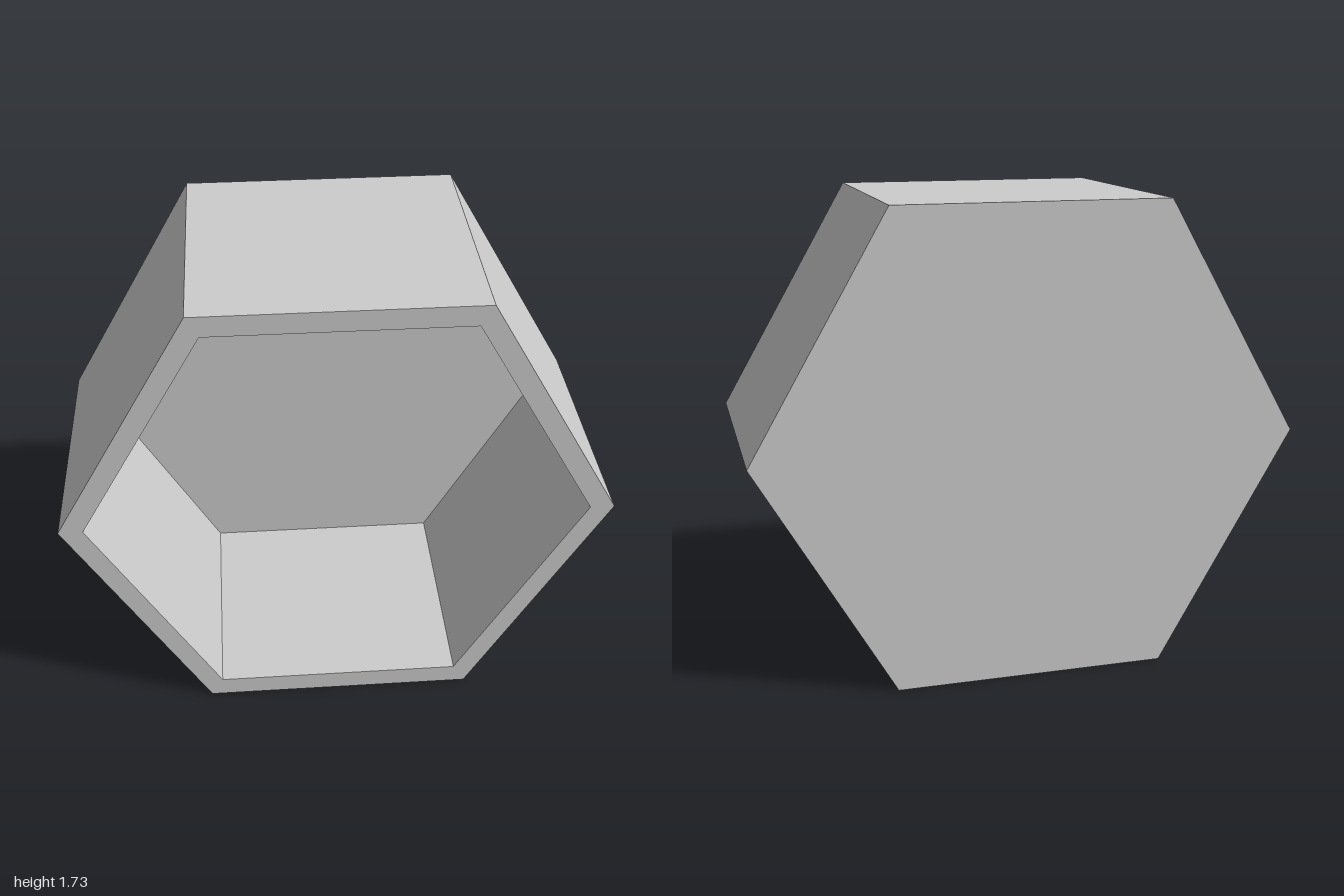
import * as THREE from 'three';

const DEPTH = 0.97, BACK = 0.09, OUTER = 1, INNER = 0.912;
const CENTRE_Y = Math.sqrt(3) / 2;

// Corners of a regular hexagon with flat top and bottom
function hexagon(radius) {
  return Array.from({ length: 6 }, (_, i) => {
    const a = (i * Math.PI) / 3;
    return new THREE.Vector2(radius * Math.cos(a), radius * Math.sin(a));
  });
}

export function createModel() {
  const grey = new THREE.MeshStandardMaterial({ color: 0xcccccc });
  grey.name = 'lightGrey';

  const group = new THREE.Group();
  group.name = 'hexagonalShelf';

  // Flat-shaded wall panels, rim and back are extruded from hexagons
  function addPart(name, shape, depth, z) {
    const geometry = new THREE.ExtrudeGeometry(shape, { depth, bevelEnabled: false });
    const mesh = new THREE.Mesh(geometry, grey);
    mesh.name = name;
    mesh.position.set(0, CENTRE_Y, z);
    group.add(mesh);
  }

  // Hollow frame, open to the front
  const ring = new THREE.Shape(hexagon(OUTER));
  ring.holes.push(new THREE.Path(hexagon(INNER)));
  addPart('frame', ring, DEPTH, -DEPTH / 2);

  // Back panel filling the frame
  addPart('backPanel', new THREE.Shape(hexagon(INNER)), BACK, -DEPTH / 2);

  return group;
}
